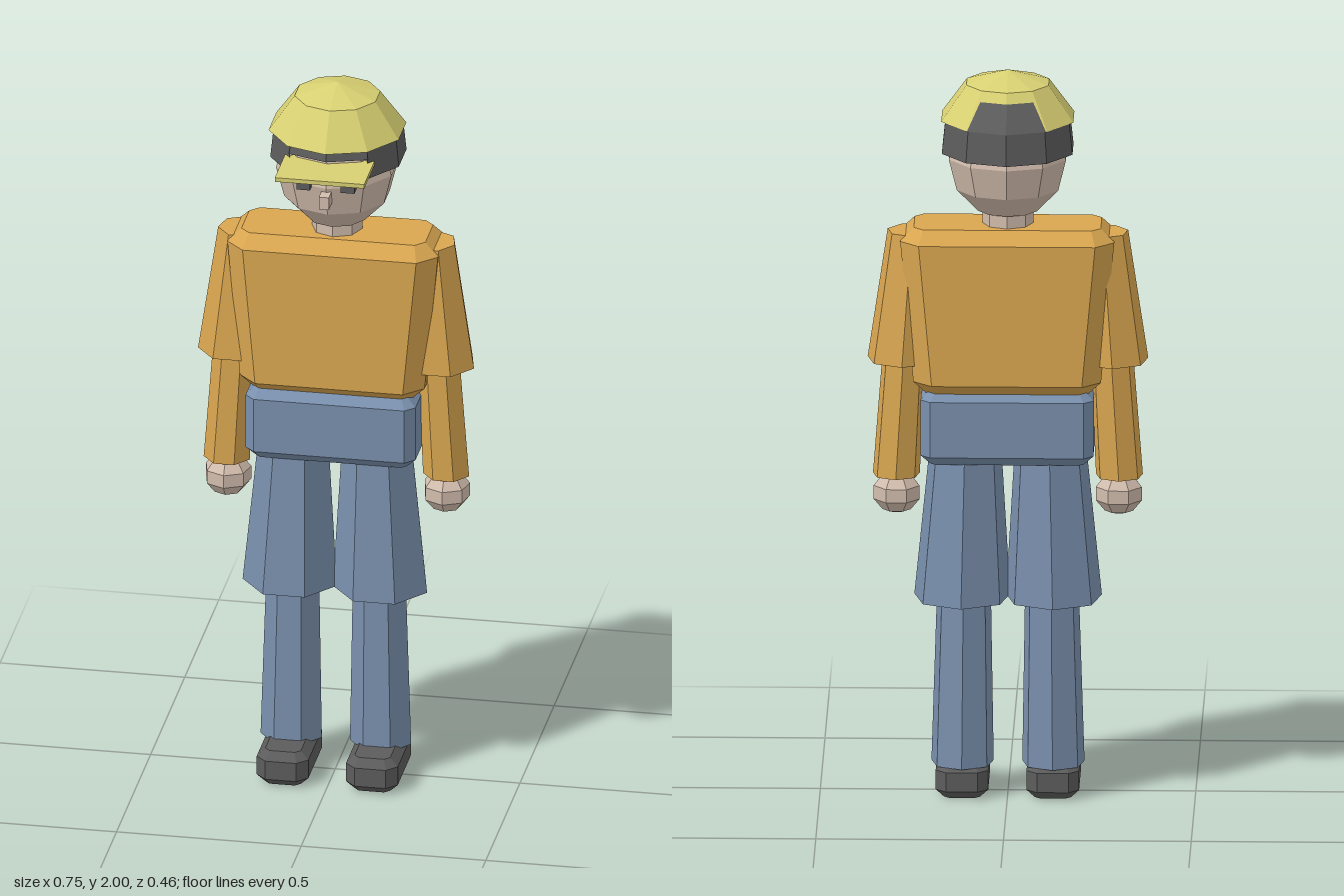
import * as THREE from 'three';

const mat = (name, color) => {
  const m = new THREE.MeshStandardMaterial({ color });
  m.name = name;
  return m;
};

// Flat facets through per-face normals
function facet(geo) {
  const g = geo.index ? geo.toNonIndexed() : geo;
  g.computeVertexNormals();
  return g;
}

// Closed solid through horizontal rings, listed from bottom to top
function loft(rings) {
  const n = rings[0].length, pos = rings.flat(2), idx = [];
  for (let r = 0; r < rings.length - 1; r++)
    for (let i = 0; i < n; i++) {
      const j = (i + 1) % n, a = r * n + i, b = r * n + j;
      idx.push(a, b, b + n, a, b + n, a + n);
    }
  const top = (rings.length - 1) * n;
  for (let i = 1; i < n - 1; i++) {
    idx.push(0, i + 1, i);
    idx.push(top, top + i, top + i + 1);
  }
  const g = new THREE.BufferGeometry();
  g.setAttribute('position', new THREE.Float32BufferAttribute(pos, 3));
  g.setIndex(idx);
  return facet(g);
}

// Seven-sided ring with a corner at the back
function ring7(cx, y, cz, r) {
  return Array.from({ length: 7 }, (_, i) => {
    const t = Math.PI + (i * 2 * Math.PI) / 7;
    return [cx + r * Math.sin(t), y, cz + r * Math.cos(t)];
  });
}

// Rectangle with cut corners
function ring8(y, cz, w, d, c) {
  return [[w - c, d], [w, d - c], [w, c - d], [w - c, -d], [c - w, -d], [-w, c - d], [-w, d - c], [c - w, d]]
    .map(([x, z]) => [x, y, cz + z]);
}

// Bevelled block: half sizes at bottom (w0, d0) and top (w1, d1)
function block(y0, y1, cz, w0, d0, w1, d1, c, e = c) {
  return loft([
    ring8(y0, cz, w0 - e, d0 - e, c * 0.5),
    ring8(y0 + e, cz, w0, d0, c),
    ring8(y1 - e, cz, w1, d1, c),
    ring8(y1, cz, w1 - e, d1 - e, c * 0.5),
  ]);
}

export function createModel() {
  const group = new THREE.Group();
  const shirt = mat('ochre shirt', 0xd9a650);
  const denim = mat('blue denim', 0x7a90ad);
  const skin = mat('skin', 0xd2bdad);
  const dark = mat('dark grey', 0x5c5c5c);
  const capMat = mat('yellow cap', 0xd8d072);
  dark.side = THREE.DoubleSide;
  capMat.side = THREE.DoubleSide;

  const add = (name, geo, material, x = 0, y = 0, z = 0) => {
    const m = new THREE.Mesh(geo, material);
    m.name = name;
    m.position.set(x, y, z);
    group.add(m);
    return m;
  };

  // Body
  add('torso', block(1.12, 1.577, -0.03, 0.25, 0.125, 0.285, 0.118, 0.05, 0.036), shirt);
  add('hips', block(0.93, 1.135, -0.025, 0.23, 0.12, 0.23, 0.12, 0.026), denim);
  add('neck', facet(new THREE.CylinderGeometry(0.068, 0.068, 0.1, 8)), skin, 0, 1.59, -0.03);

  // Arms and legs
  for (const [s, side] of [[1, 'left'], [-1, 'right']]) {
    const limb = (name, material, z, bottom, top) =>
      add(side + name, loft([bottom, top].map(([x, y, r]) => ring7(s * x, y, z, r))), material);
    limb('Sleeve', shirt, -0.032, [0.28, 1.2, 0.096], [0.255, 1.555, 0.067]);
    limb('Forearm', shirt, -0.031, [0.297, 0.88, 0.064], [0.276, 1.23, 0.058]);
    limb('TrouserUpper', denim, -0.023, [0.122, 0.54, 0.131], [0.113, 0.96, 0.097]);
    limb('TrouserLower', denim, -0.028, [0.121, 0.085, 0.085], [0.117, 0.58, 0.073]);
    const hand = new THREE.SphereGeometry(0.066, 7, 5).rotateY(Math.PI / 2).scale(1, 0.9, 1);
    add(side + 'Hand', facet(hand), skin, s * 0.296, 0.832, -0.027);
    add(side + 'Shoe', block(0, 0.097, 0.02, 0.07, 0.126, 0.07, 0.126, 0.028, 0.022), dark, s * 0.121);
    add(side + 'Eye', facet(new THREE.BoxGeometry(0.037, 0.047, 0.032)), dark, s * 0.06, 1.782, 0.13);
  }

  // Head and nose
  const head = new THREE.SphereGeometry(0.164, 10, 6).rotateY(Math.PI / 2).scale(1, 1.04, 1);
  add('head', facet(head), skin, 0, 1.762, -0.027);
  add('nose', facet(new THREE.BoxGeometry(0.027, 0.036, 0.045)), skin, 0, 1.733, 0.145);

  // Hair wraps the sides and back, with a short fringe under the cap
  const hairProfile = [[0.183, 1.785], [0.174, 1.87], [0.12, 1.94]].map(p => new THREE.Vector2(...p));
  add('hair', facet(new THREE.LatheGeometry(hairProfile, 8, Math.PI / 5, Math.PI * 1.6)), dark, 0, 0, -0.046);
  const fringeProfile = [[0.182, 1.84], [0.174, 1.875]].map(p => new THREE.Vector2(...p));
  add('fringe', facet(new THREE.LatheGeometry(fringeProfile, 2, -Math.PI / 5, Math.PI * 0.4)), dark, 0, 0, -0.046);

  // Cap with a flat brim
  const capProfile = [[0.185, 1.87], [0.115, 1.966], [0, 2]].map(p => new THREE.Vector2(...p));
  add('cap', facet(new THREE.LatheGeometry(capProfile, 10)), capMat, 0, 0, -0.032);
  add('capBrim', facet(new THREE.BoxGeometry(0.242, 0.012, 0.15)), capMat, 0, 1.822, 0.156);

  return group;
}
